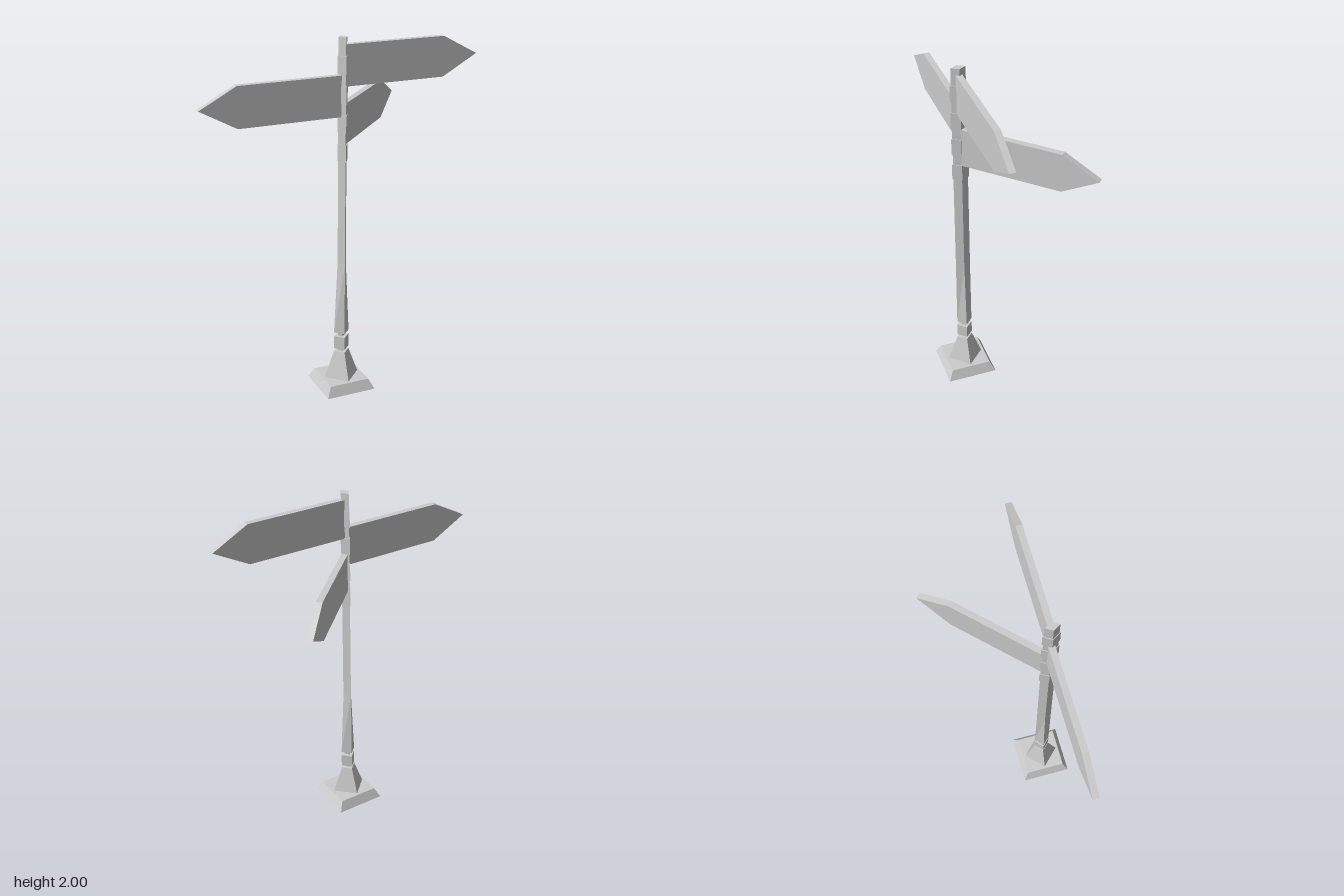
import * as THREE from 'three';

const material = new THREE.MeshStandardMaterial({ color: 0xcccccc, flatShading: true });

// Four-sided tapering block between heights y0 and y1.
// lower and upper are [half width in x, half depth in z] of a diamond section.
function diamondBlock(name, y0, y1, lower, upper = lower) {
  const geometry = new THREE.CylinderGeometry(1, 1, y1 - y0, 4);
  geometry.translate(0, (y0 + y1) / 2, 0);
  const p = geometry.attributes.position;
  const middle = (y0 + y1) / 2;
  for (let i = 0; i < p.count; i++) {
    const [sx, sz] = p.getY(i) < middle ? lower : upper;
    p.setXYZ(i, p.getX(i) * sx, p.getY(i), p.getZ(i) * sz);
  }
  geometry.computeVertexNormals();
  const mesh = new THREE.Mesh(geometry, material);
  mesh.name = name;
  return mesh;
}

// Pointed board running outwards from the pole axis, turned about y.
function signBoard(name, y, angle) {
  const length = 0.785, shoulder = 0.583, half = 0.11, thickness = 0.035;
  const shape = new THREE.Shape();
  shape.moveTo(0, -half);
  shape.lineTo(shoulder, -half);
  shape.lineTo(length, 0.002);
  shape.lineTo(shoulder, half);
  shape.lineTo(0, half);
  shape.closePath();
  const geometry = new THREE.ExtrudeGeometry(shape, { depth: thickness, bevelEnabled: false });
  geometry.translate(0, 0, -thickness / 2);
  const mesh = new THREE.Mesh(geometry, material);
  mesh.name = name;
  mesh.position.y = y;
  mesh.rotation.y = angle;
  return mesh;
}

export function createModel() {
  const signpost = new THREE.Group();
  signpost.name = 'signpost';
  signpost.position.z = 0.207;

  // Square plinth, a diamond block turned by an eighth
  const plinth = diamondBlock('plinth', 0, 0.057,
    [0.144 * Math.SQRT2, 0.144 * Math.SQRT2], [0.116 * Math.SQRT2, 0.116 * Math.SQRT2]);
  plinth.rotation.y = Math.PI / 4;
  signpost.add(plinth);

  // Foot, collar and pole
  signpost.add(
    diamondBlock('foot', 0.057, 0.212, [0.102, 0.102], [0.045, 0.045]),
    diamondBlock('neck', 0.2, 0.34, [0.019, 0.019]),
    diamondBlock('collar', 0.23, 0.305, [0.045, 0.045]),
    diamondBlock('lowerPole', 0.33, 0.75, [0.045, 0.044], [0.025, 0.042]),
    diamondBlock('upperPole', 0.75, 2, [0.025, 0.042], [0.024, 0.04]),
  );

  // Bands around the pole between the boards
  for (let i = 0; i < 4; i++) {
    const y = 1.34 + i * 0.157;
    signpost.add(diamondBlock('band' + (i + 1), y, y + 0.093, [0.029, 0.047]));
  }

  // Boards
  signpost.add(
    signBoard('upperSign', 1.853, 0),
    signBoard('middleSign', 1.693, Math.PI),
    signBoard('lowerSign', 1.541, Math.PI / 4),
  );

  const model = new THREE.Group();
  model.add(signpost);
  return model;
}
